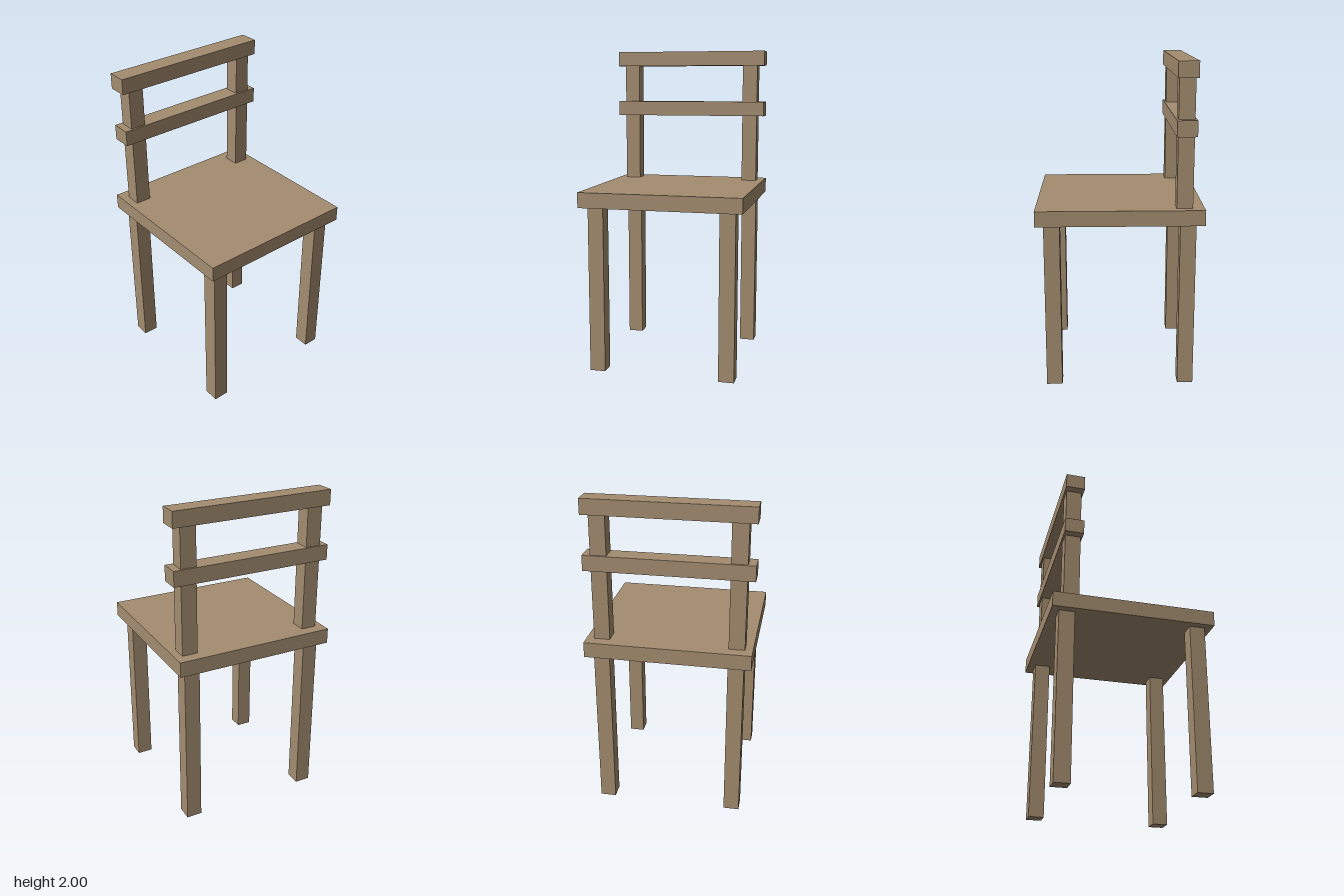
import * as THREE from 'three';

export function createModel() {
  const chair = new THREE.Group();
  chair.name = 'chair';
  const wood = new THREE.MeshStandardMaterial({ color: 0xa48d70 });
  wood.name = 'wood';

  // Box beam given by its size, its centre and the height of its underside
  function beam(name, width, height, depth, x, bottom, z) {
    const mesh = new THREE.Mesh(new THREE.BoxGeometry(width, height, depth), wood);
    mesh.name = name;
    mesh.position.set(x, bottom + height / 2, z);
    chair.add(mesh);
  }

  const seatBottom = 1.04;
  const thickness = 0.095;
  const seatTop = seatBottom + thickness;
  const span = 1.01;
  const backZ = -0.385;

  // Seat
  beam('seat', span, thickness, span, 0, seatBottom, 0);

  // Legs and back posts, mirrored left and right
  for (const [side, x] of [['left', 0.409], ['right', -0.409]]) {
    beam(side + 'FrontLeg', 0.097, seatBottom, 0.097, x, 0, 0.409);
    beam(side + 'BackLeg', 0.097, seatBottom, 0.097, x, 0, -0.409);
    beam(side + 'BackPost', 0.097, 1.95 - seatTop, 0.097, x, seatTop, backZ);
  }

  // Back rails, a little deeper than the posts
  beam('middleRail', span, thickness, 0.12, 0, 1.57, backZ);
  beam('topRail', span, thickness, 0.12, 0, 2 - thickness, backZ);

  return chair;
}
